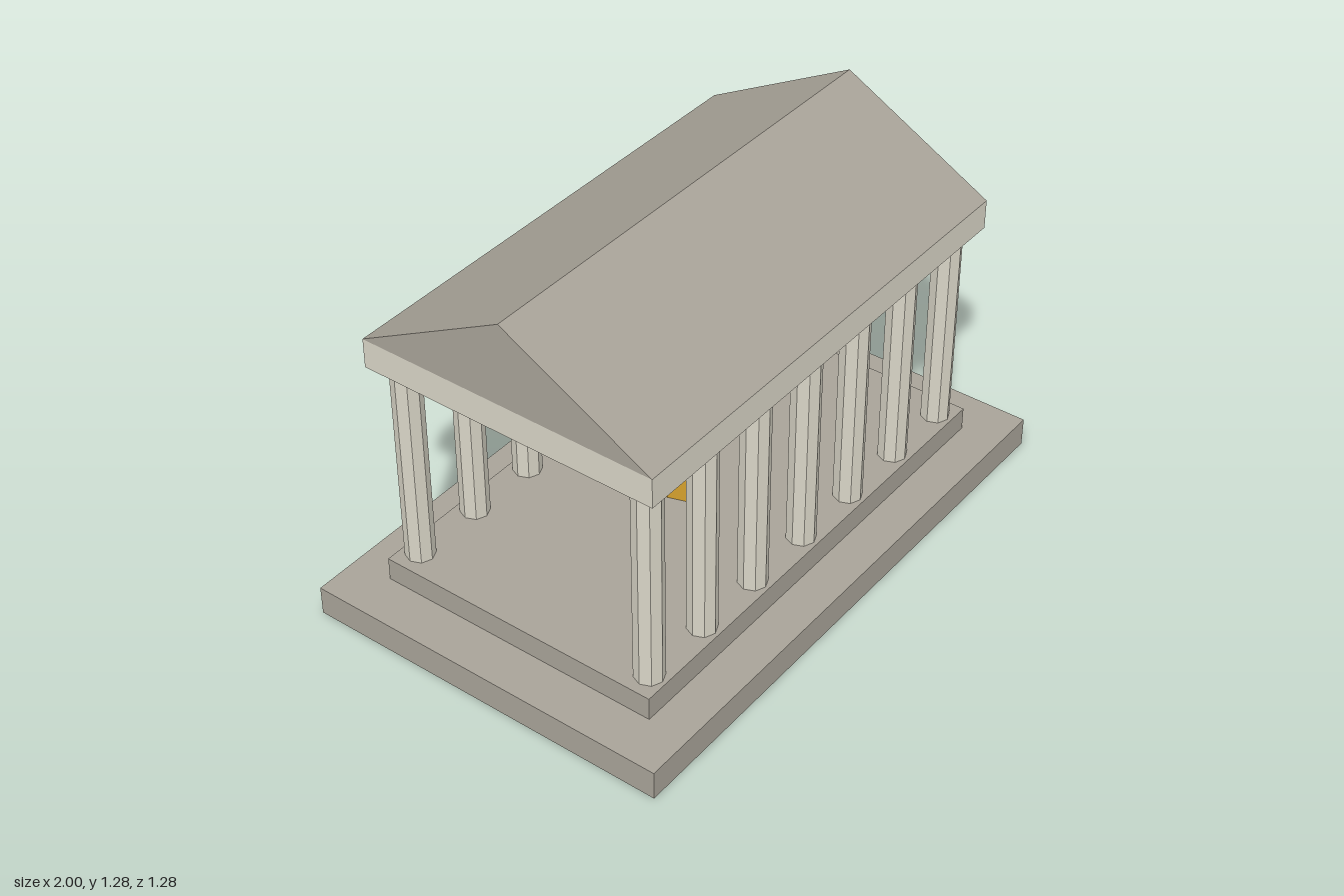
import * as THREE from 'three';

const material = (name, color) => {
  const m = new THREE.MeshStandardMaterial({ color, flatShading: true });
  m.name = name;
  return m;
};

export function createModel() {
  const temple = new THREE.Group();
  temple.name = 'temple';
  const stone = material('grey stone', 0xa8a398);
  const marble = material('pale marble', 0xd8d4c6);
  const gold = material('gold', 0xd4a02c);

  const add = (name, geometry, mat, x, y, z) => {
    const mesh = new THREE.Mesh(geometry, mat);
    mesh.name = name;
    mesh.position.set(x, y, z);
    temple.add(mesh);
    return mesh;
  };
  // Box given by its full width and depth and its bottom and top heights
  const slab = (name, mat, width, depth, bottom, top) =>
    add(name, new THREE.BoxGeometry(width, top - bottom, depth), mat, 0, (bottom + top) / 2, 0);

  // Stepped base and the beam slab carried by the columns
  slab('lowerStep', stone, 2, 1.28, 0, 0.1);
  slab('upperStep', stone, 1.68, 1, 0.1, 0.18);
  slab('entablature', marble, 1.68, 1.04, 0.9, 1);

  // Seven octagonal columns along the front and the back
  const columnGeometry = new THREE.CylinderGeometry(0.048, 0.048, 0.72, 8);
  for (const z of [0.44, -0.44]) {
    for (let i = 0; i < 7; i++) {
      add('column', columnGeometry, marble, -0.76 + (i * 1.52) / 6, 0.54, z);
    }
  }

  // Gabled roof: a triangle in z and y, extruded along x
  const gable = new THREE.Shape();
  gable.moveTo(-0.52, 0);
  gable.lineTo(0.52, 0);
  gable.lineTo(0, 0.28);
  gable.closePath();
  const roofGeometry = new THREE.ExtrudeGeometry(gable, { depth: 1.68, bevelEnabled: false });
  roofGeometry.translate(0, 0, -0.84);
  roofGeometry.rotateY(Math.PI / 2);
  add('roof', roofGeometry, stone, 0, 1, 0);

  // Ten-sided altar in the middle of the floor
  const altarGeometry = new THREE.CylinderGeometry(0.1, 0.1, 0.1, 10);
  altarGeometry.rotateY(Math.PI / 2);
  add('altar', altarGeometry, gold, 0, 0.23, 0);

  return temple;
}
